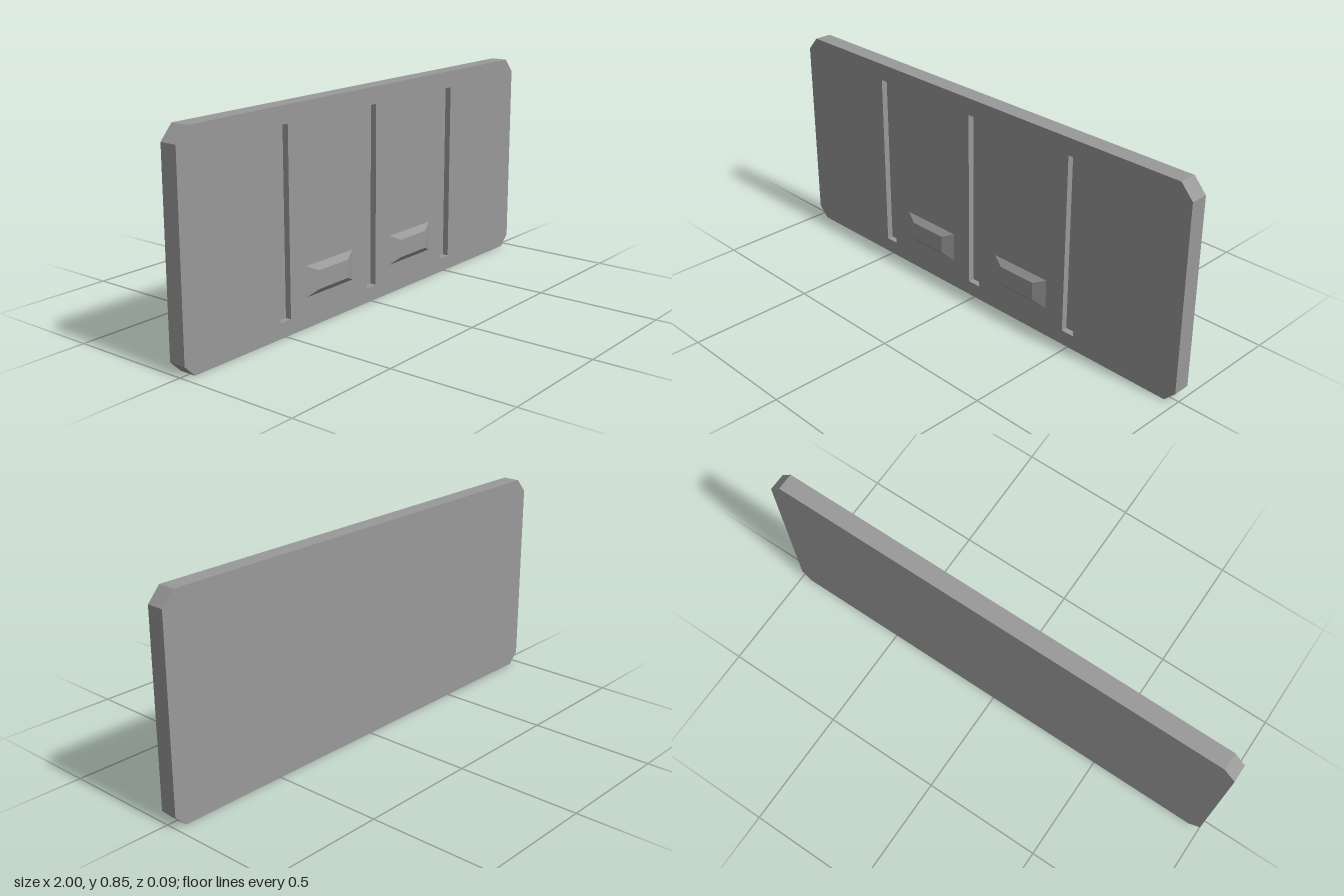
import * as THREE from 'three';
import { mergeGeometries } from 'three/addons/utils/BufferGeometryUtils.js';

const BACK = -0.045, FRONT = 0.025, FLOOR = 0, RAISED = 0.045;

const rect = (x0, x1, y0, y1) =>
  [[x0, y0], [x1, y0], [x1, y1], [x0, y1]].map(([x, y]) => new THREE.Vector2(x, y));

// flat face in the xy plane at depth z
function face(points, z, holes = [], backward = false) {
  const shape = new THREE.Shape(points);
  shape.holes = holes.map((h) => new THREE.Path(h));
  const g = new THREE.ShapeGeometry(shape);
  if (backward) g.rotateY(Math.PI);
  g.translate(0, 0, z);
  g.deleteAttribute('uv');
  return g.toNonIndexed();
}

// flat-shaded band from loop a at za to loop b at zb; counter-clockwise loops face outward
function band(a, za, b, zb) {
  const pos = [];
  a.forEach((p, i) => {
    const j = (i + 1) % a.length, q = a[j], r = b[j], s = b[i];
    pos.push(p.x, p.y, za, q.x, q.y, za, r.x, r.y, zb);
    pos.push(p.x, p.y, za, r.x, r.y, zb, s.x, s.y, zb);
  });
  const g = new THREE.BufferGeometry();
  g.setAttribute('position', new THREE.Float32BufferAttribute(pos, 3));
  g.computeVertexNormals();
  return g;
}

export function createModel() {
  const group = new THREE.Group();
  group.name = 'slottedPanel';
  const grey = new THREE.MeshStandardMaterial({ color: 0x999999 });
  grey.name = 'grey';

  const add = (name, parts) => {
    const mesh = new THREE.Mesh(mergeGeometries(parts), grey);
    mesh.name = name;
    group.add(mesh);
  };

  // panel with clipped corners
  const outline = [[-0.955, 0], [0.955, 0], [1, 0.045], [1, 0.797], [0.95, 0.853],
    [-0.95, 0.853], [-1, 0.797], [-1, 0.045]].map(([x, y]) => new THREE.Vector2(x, y));
  const slots = [-0.502, -0.002, 0.498].map((x) => rect(x - 0.028, x + 0.028, 0.06, 0.785));
  add('panel', [
    face(outline, FRONT, slots),
    face(outline, BACK, [], true),
    band(outline, BACK, outline, FRONT),
  ]);

  // recessed vertical slots: inward walls and floor
  slots.forEach((s, i) => add('slot' + (i + 1), [band(s, FRONT, s, FLOOR), face(s, FLOOR)]));

  // raised grips with sloping sides
  [-0.253, 0.249].forEach((x, i) => {
    const base = rect(x - 0.135, x + 0.135, 0.12, 0.241);
    const top = rect(x - 0.083, x + 0.083, 0.144, 0.217);
    add('grip' + (i + 1), [band(base, FRONT, top, RAISED), face(top, RAISED)]);
  });

  return group;
}
